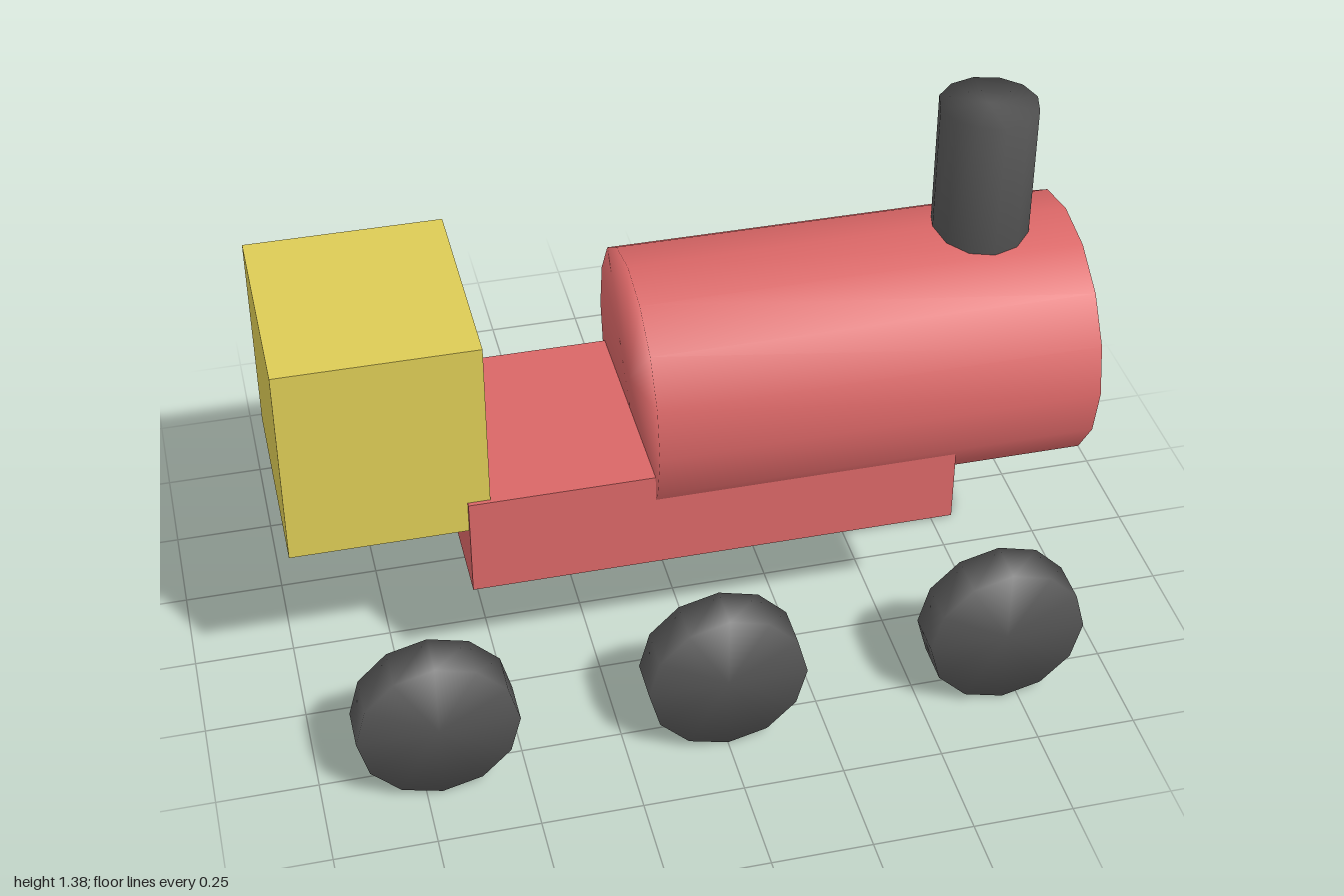
import * as THREE from 'three';
import { mergeVertices } from 'three/addons/utils/BufferGeometryUtils.js';

const red = new THREE.MeshStandardMaterial({ color: 0xd96666 });
const yellow = new THREE.MeshStandardMaterial({ color: 0xdccb55 });
const dark = new THREE.MeshStandardMaterial({ color: 0x555555 });

// Cylinder whose normals are blended across the cap edges
function softCylinder(radius, length, sides) {
  const g = new THREE.CylinderGeometry(radius, radius, length, sides);
  g.deleteAttribute('normal');
  g.deleteAttribute('uv');
  const merged = mergeVertices(g, 1e-4);
  merged.computeVertexNormals();
  return merged;
}

export function createModel() {
  const model = new THREE.Group();
  model.name = 'locomotive';

  function add(name, geometry, material, x, y, z) {
    const mesh = new THREE.Mesh(geometry, material);
    mesh.name = name;
    mesh.position.set(x, y, z);
    model.add(mesh);
    return mesh;
  }

  // Body
  add('chassis', new THREE.BoxGeometry(1.22, 0.265, 0.575), red, 0.043, 0.492, 0);
  add('cab', new THREE.BoxGeometry(0.488, 0.53, 0.553), yellow, -0.756, 0.804, 0);

  // Boiler lies along x
  const boiler = softCylinder(0.333, 1.11, 16).rotateZ(-Math.PI / 2);
  add('boiler', boiler, red, 0.445, 0.713, 0);

  // Chimney sinks slightly into the boiler
  add('chimney', softCylinder(0.122, 0.38, 12), dark, 0.777, 1.19, 0);

  // Three wheels per side, standing clear of the chassis
  const wheel = softCylinder(0.198, 0.111, 12).rotateX(Math.PI / 2);
  for (const side of [-1, 1]) {
    for (const x of [-0.711, 0, 0.711]) add('wheel', wheel, dark, x, 0.2, side * 0.534);
  }
  return model;
}
